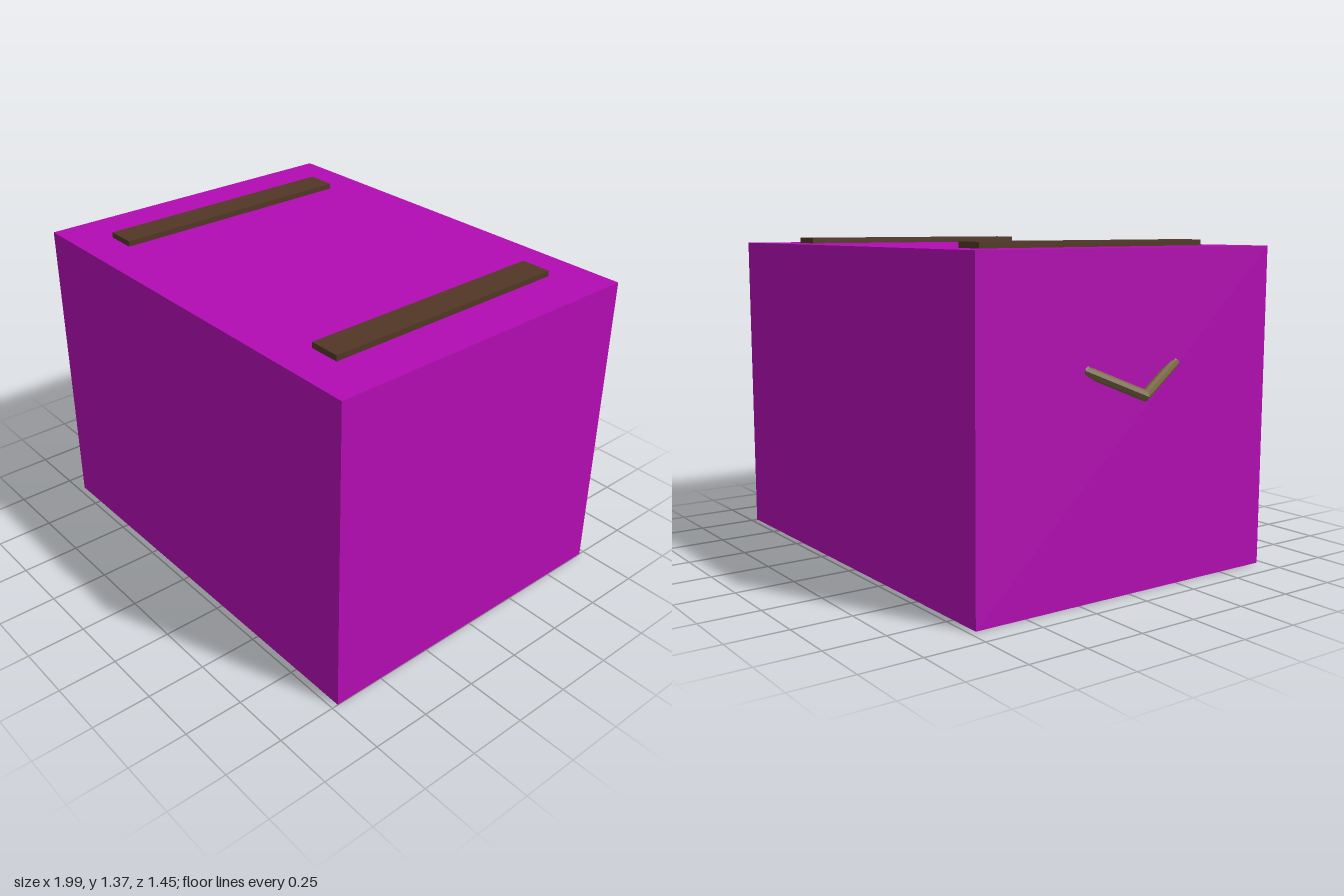
import * as THREE from 'three';

const paint = (color, flatShading = false) => new THREE.MeshStandardMaterial({ color, flatShading });

export function createModel() {
  const model = new THREE.Group();
  const add = (name, geometry, material, x, y, z) => {
    const mesh = new THREE.Mesh(geometry, material);
    mesh.name = name;
    mesh.position.set(x, y, z);
    model.add(mesh);
    return mesh;
  };
  const magenta = paint(0xb30cb3);
  const wood = paint(0x523725);
  const brass = paint(0x7a6644, true);
  const dark = paint(0x2a2018);

  // Solid box body, offset to leave room for the handle
  add('body', new THREE.BoxGeometry(1.9, 1.34, 1.446), magenta, 0.05, 0.67, 0);

  // Two flat slats across the lid
  const slat = new THREE.BoxGeometry(0.132, 0.03, 1.116);
  for (const x of [-0.617, 0.718]) add('lidSlat', slat, wood, x, 1.349, 0);

  // Six-sided ring handle, tilted and half sunk into the side
  const handle = add('handle', new THREE.TorusGeometry(0.255, 0.023, 8, 6), brass, -0.808, 0.989, 0);
  handle.quaternion.setFromRotationMatrix(new THREE.Matrix4().makeBasis(
    new THREE.Vector3(-0.63, -0.777, 0).normalize(),
    new THREE.Vector3(0, 0, 1),
    new THREE.Vector3(-0.777, 0.63, 0).normalize()
  ));

  // Round feet set flush into the underside
  const foot = new THREE.CylinderGeometry(0.09, 0.09, 0.04, 24);
  for (const sx of [-1, 1]) {
    for (const sz of [-1, 1]) add('foot', foot, dark, 0.05 + sx * 0.85, 0.019, sz * 0.62);
  }
  return model;
}
